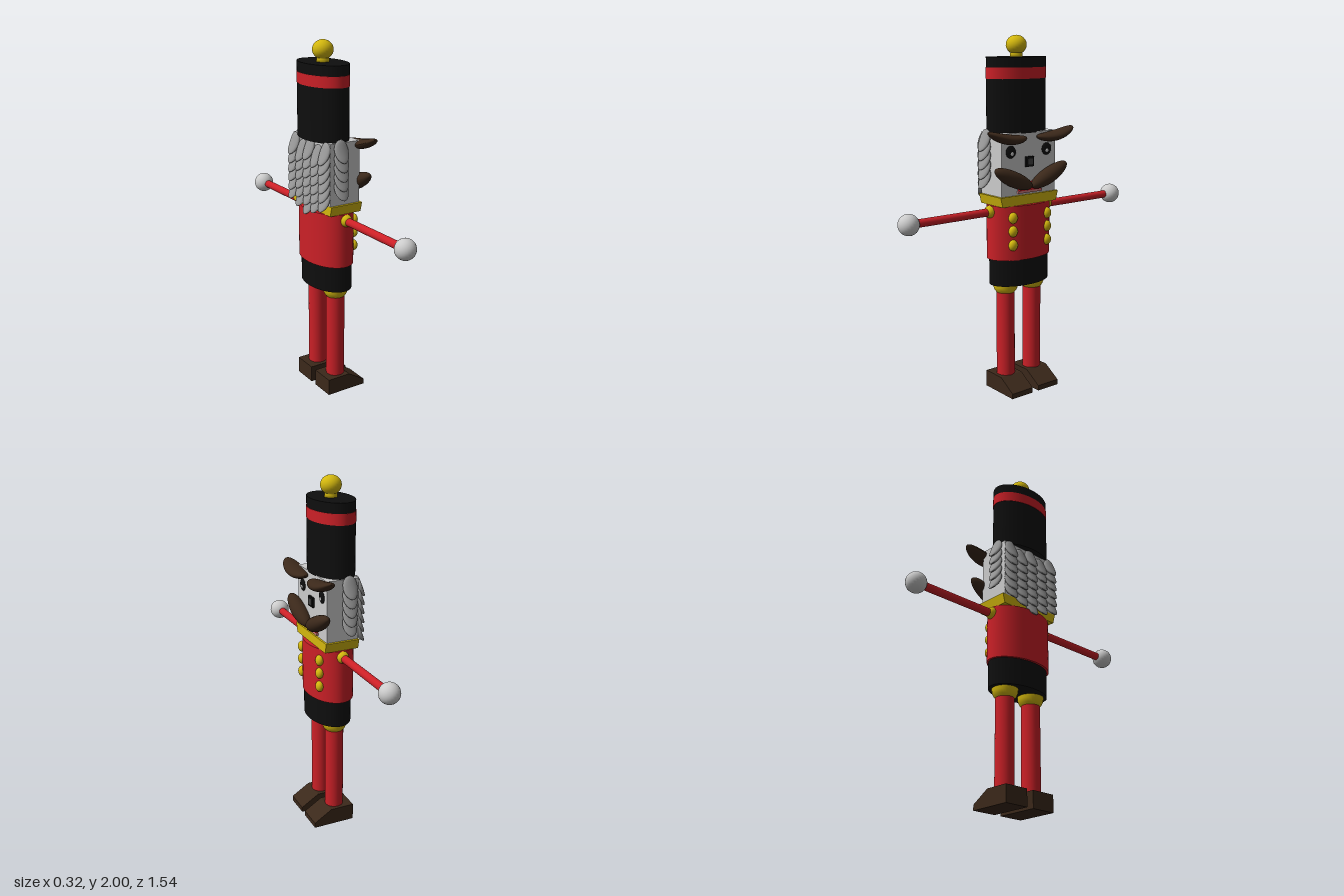
import * as THREE from 'three';

const mat = (color) => new THREE.MeshStandardMaterial({ color });
const RED = mat(0xcc2027), GOLD = mat(0xd4b80e), BROWN = mat(0x3b281a);
const BLACK = mat(0x0e0e0e), GREY = mat(0xcccccc), HAIR = mat(0x999999), DARK = mat(0x444444);

export function createModel() {
  const model = new THREE.Group();

  const add = (name, geometry, material, x = 0, y = 0, z = 0) => {
    const mesh = new THREE.Mesh(geometry, material);
    mesh.name = name;
    mesh.position.set(x, y, z);
    model.add(mesh);
    return mesh;
  };
  // upright cylinder with an oval plan
  const oval = (name, material, x, y0, y1, rx, rz) => {
    const g = new THREE.CylinderGeometry(1, 1, y1 - y0, 48).scale(rx, 1, rz);
    return add(name, g, material, x, (y0 + y1) / 2, 0);
  };
  const box = (name, material, x0, x1, y0, y1, depth, z = 0) =>
    add(name, new THREE.BoxGeometry(x1 - x0, y1 - y0, depth), material, (x0 + x1) / 2, (y0 + y1) / 2, z);
  const ellipsoid = (name, material, x, y, z, rx, ry, rz) =>
    add(name, new THREE.SphereGeometry(1, 24, 16).scale(rx, ry, rz), material, x, y, z);

  // hat, band and knob
  oval('hat', BLACK, -0.03, 1.48, 1.885, 0.115, 0.187);
  oval('hatBand', RED, -0.03, 1.77, 1.83, 0.117, 0.189);
  const knob = [[0, 1.88], [0.036, 1.88], [0.034, 1.9], [0.032, 1.905]];
  for (let i = 0; i <= 12; i++) {
    const a = -0.9 + (i / 12) * (Math.PI / 2 + 0.9);
    knob.push([Math.max(0.0001, 0.057 * Math.cos(a)), 1.948 + 0.052 * Math.sin(a)]);
  }
  add('hatKnob', new THREE.LatheGeometry(knob.map(([r, y]) => new THREE.Vector2(r, y)), 32), GOLD, -0.03);

  // head, nose and mouth
  box('head', GREY, -0.105, 0.08, 1.12, 1.485, 0.376);
  box('nose', BLACK, 0.075, 0.092, 1.297, 1.353, 0.056);
  box('noseTip', DARK, 0.09, 0.095, 1.309, 1.341, 0.032);
  box('mouth', RED, 0.075, 0.095, 1.168, 1.215, 0.15);
  box('lowerLip', mat(0xd08080), 0.075, 0.093, 1.155, 1.168, 0.165);

  // collar, narrowing downwards
  const collar = new THREE.BoxGeometry(0.197, 0.055, 0.405);
  const cp = collar.attributes.position;
  for (let i = 0; i < cp.count; i++) if (cp.getY(i) < 0) cp.setZ(i, cp.getZ(i) * 0.93);
  collar.computeVertexNormals();
  add('collar', collar, GOLD, -0.008, 1.117, 0);

  // body
  oval('jacket', RED, -0.012, 0.785, 1.09, 0.127, 0.202);
  oval('trousers', BLACK, -0.009, 0.635, 0.785, 0.117, 0.19);

  // bent, tapering lobe used for eyebrows and moustache
  const lobe = (name, s, x, zc, hz, rx, ry, bend) => {
    const g = new THREE.SphereGeometry(1, 24, 24).rotateX(Math.PI / 2);
    const p = g.attributes.position;
    for (let i = 0; i < p.count; i++) {
      const t = s * p.getZ(i);
      p.setXYZ(i, x + rx * p.getX(i), bend(t) + ry * p.getY(i), s * zc + hz * p.getZ(i));
    }
    g.computeVertexNormals();
    add(name, g, BROWN);
  };

  // foot profile with a sloping toe
  const foot = new THREE.Shape(
    [[-0.1, 0], [0.145, 0], [0.145, 0.03], [0.04, 0.095], [-0.1, 0.095]].map(([x, y]) => new THREE.Vector2(x, y)));
  const footGeo = new THREE.ExtrudeGeometry(foot, { depth: 0.146, bevelEnabled: false }).translate(0, 0, -0.073);
  const kneeGeo = new THREE.LatheGeometry(
    [[0, 0.578], [0.048, 0.578], [0.062, 0.595], [0.07, 0.615], [0.072, 0.64]].map(([r, y]) => new THREE.Vector2(r, y)), 32);

  for (const s of [1, -1]) {
    // face
    lobe('eyebrow', s, 0.105, 0.166, 0.126, 0.056, 0.028, (t) => 1.458 + 0.02 * t + 0.022 * t * t);
    lobe('moustache', s, 0.105, 0.125, 0.125, 0.046, 0.047, (t) => 1.24 + 0.05 * t + 0.005 * t * t);
    ellipsoid('eye', BLACK, 0.08, 1.385, s * 0.125, 0.009, 0.034, 0.034);
    ellipsoid('eyeHighlight', GREY, 0.087, 1.376, s * 0.122, 0.005, 0.011, 0.011);

    // arm
    ellipsoid('shoulder', GOLD, -0.01, 1.055, s * 0.2, 0.033, 0.035, 0.033);
    const arm = new THREE.CylinderGeometry(0.022, 0.022, 0.5, 24).rotateX(Math.PI / 2);
    add('arm', arm, RED, -0.01, 1.053, s * 0.45);
    ellipsoid('hand', GREY, -0.011, 1.053, s * 0.715, 0.057, 0.057, 0.057);

    // leg
    add('hipCap', kneeGeo, GOLD, -0.01, 0, s * 0.095);
    add('leg', new THREE.CylinderGeometry(0.052, 0.052, 0.51, 32), RED, -0.01, 0.335, s * 0.095);
    add('foot', footGeo, BROWN, 0, 0, s * 0.094);

    // buttons
    for (const y of [1.025, 0.95, 0.872]) ellipsoid('button', GOLD, 0.093, y, s * 0.12, 0.022, 0.031, 0.027);
  }

  // overlapping hair locks: curved petals flaring outwards at their tips
  const lockGeo = new THREE.SphereGeometry(1, 16, 12);
  const lp = lockGeo.attributes.position;
  for (let i = 0; i < lp.count; i++) {
    const v = lp.getY(i);
    lp.setXYZ(i, 0.018 * lp.getX(i) + 0.012 - 0.022 * v + 0.012 * v * v, 0.06 * v, 0.043 * lp.getZ(i));
  }
  lockGeo.computeVertexNormals();
  const column = (x, z, angle, top, rows) => {
    for (let r = 0; r < rows; r++) add('hairLock', lockGeo, HAIR, x, top - r * 0.051, z).rotation.y = angle;
  };
  // back columns, alternately staggered
  for (let c = -2; c <= 2; c++) {
    const odd = Math.abs(c) % 2;
    column(-0.106, c * 0.077, Math.PI, 1.43 - odd * 0.025, odd ? 6 : 6 + (c === 0 ? 1 : 0));
  }
  // side columns
  for (const s of [1, -1]) column(-0.047, s * 0.192, -s * Math.PI / 2, 1.445, 4 + 1);

  return model;
}
